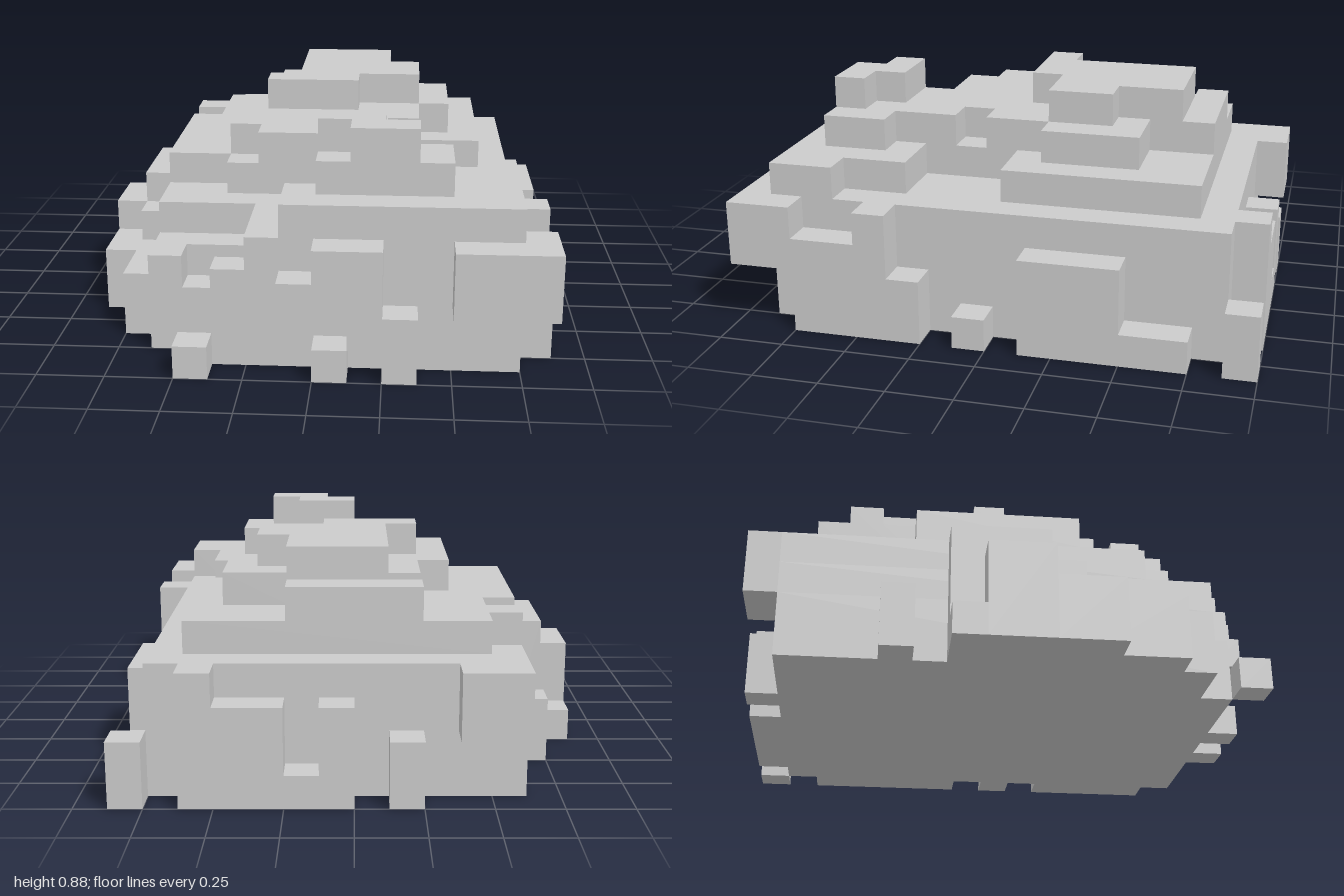
import * as THREE from 'three';

const U = 0.125; // one block
const material = new THREE.MeshStandardMaterial({ color: 0xcccccc, flatShading: true });

// Terrace: outline in block units [x, z], filled from y0 to y1
function terrace(name, y0, y1, outline) {
  const shape = new THREE.Shape(outline.map(([x, z]) => new THREE.Vector2(x * U, z * U)));
  const geo = new THREE.ExtrudeGeometry(shape, { depth: (y1 - y0) * U, bevelEnabled: false });
  geo.rotateX(Math.PI / 2);
  geo.translate(0, y1 * U, 0);
  const mesh = new THREE.Mesh(geo, material);
  mesh.name = name;
  return mesh;
}

// Group of boxes given as [x0, x1, y0, y1, z0, z1] in block units
function blocks(name, list) {
  const group = new THREE.Group();
  group.name = name;
  list.forEach(([x0, x1, y0, y1, z0, z1], i) => {
    const geo = new THREE.BoxGeometry((x1 - x0) * U, (y1 - y0) * U, (z1 - z0) * U);
    const mesh = new THREE.Mesh(geo, material);
    mesh.position.set((x0 + x1) * U / 2, (y0 + y1) * U / 2, (z0 + z1) * U / 2);
    mesh.name = name + 'Block' + (i + 1);
    group.add(mesh);
  });
  return group;
}

export function createModel() {
  const model = new THREE.Group();
  model.name = 'blockHill';

  // Stacked terraces, bottom to top
  model.add(
    terrace('baseTerrace', 0, 2, [[-5, -7], [6, -7], [6, 7], [-3, 7], [-3, 6], [-5, 6]]),
    terrace('lowerTerrace', 2, 3, [[-5, -7], [6, -7], [6, 7], [-3, 7], [-3, 6], [-2, 6],
      [-2, 5], [-4, 5], [-4, 6], [-5, 6]]),
    terrace('middleTerrace', 3, 4, [[-5, -7], [6, -7], [6, 7], [-2, 7], [-2, 4], [-5, 4]]),
    terrace('upperTerrace', 4, 5, [[-4, -6], [5, -6], [5, 0], [3, 0], [3, 3], [5, 3], [5, 5],
      [6, 5], [6, 7], [-1, 7], [-1, 5], [0, 5], [0, 3], [-3, 3], [-3, 2], [-5, 2],
      [-5, -3], [-4, -3], [-4, -4], [-5, -4], [-5, -5], [-4, -5]]),
    terrace('highTerrace', 5, 6, [[-2, -6], [2, -6], [2, -4], [4, -4], [4, -1], [3, -1], [3, 1],
      [2, 1], [2, 2], [3, 2], [3, 4], [4, 4], [4, 6], [0, 6], [0, 3], [-2, 3], [-2, 2],
      [-3, 2], [-3, -2], [-2, -2], [-2, -4], [-1, -4], [-1, -5], [-2, -5]]),
    terrace('rearSummit', 6, 7, [[-1, -5], [2, -5], [2, -3], [3, -3], [3, -1], [1, -1], [1, 0],
      [-2, 0], [-2, -1], [-1, -1]]),
    terrace('frontSummit', 6, 7, [[0, 4], [2, 4], [2, 5], [3, 5], [3, 6], [1, 6], [1, 5], [0, 5]])
  );

  // Outcrops on the four sides
  model.add(
    blocks('frontOutcrop', [
      [-4, -3, 0, 1, 7, 8], [0, 1, 0, 1, 7, 8], [2, 3, 0, 1, 7, 8], [1, 3, 1, 2, 7, 8],
      [-1, 2, 2, 3, 7, 8], [0, 2, 3, 4, 7, 8], [4, 7, 2, 4, 7, 8]
    ]),
    blocks('leftOutcrop', [
      [6, 7, 2, 4, 6, 7], [6, 7, 0, 2, 2, 6], [6, 7, 2, 3, 3, 6], [6, 7, 3, 4, 3, 4],
      [6, 7, 0, 1, 0, 1], [6, 7, 0, 3, -4, -1], [6, 7, 0, 1, -6, -4], [6, 7, 0, 2, -8, -7]
    ]),
    blocks('backOutcrop', [
      [-5, -3, 2, 4, -8, -7], [-2, -1, 0, 2, -8, -7], [0, 1, 0, 3, -8, -7],
      [1, 2, 0, 1, -8, -7], [2, 4, 0, 3, -8, -7], [4, 5, 0, 4, -8, -7]
    ]),
    blocks('rightOutcrop', [
      [-6, -5, 0, 2, -4, -3], [-6, -5, 0, 4, -2, 1], [-6, -5, 0, 3, 1, 2], [-6, -5, 0, 2, 2, 5],
      [-7, -6, 0, 1, -2, -1], [-7, -6, 0, 3, -1, 1], [-7, -6, 0, 2, 1, 3]
    ])
  );
  return model;
}
